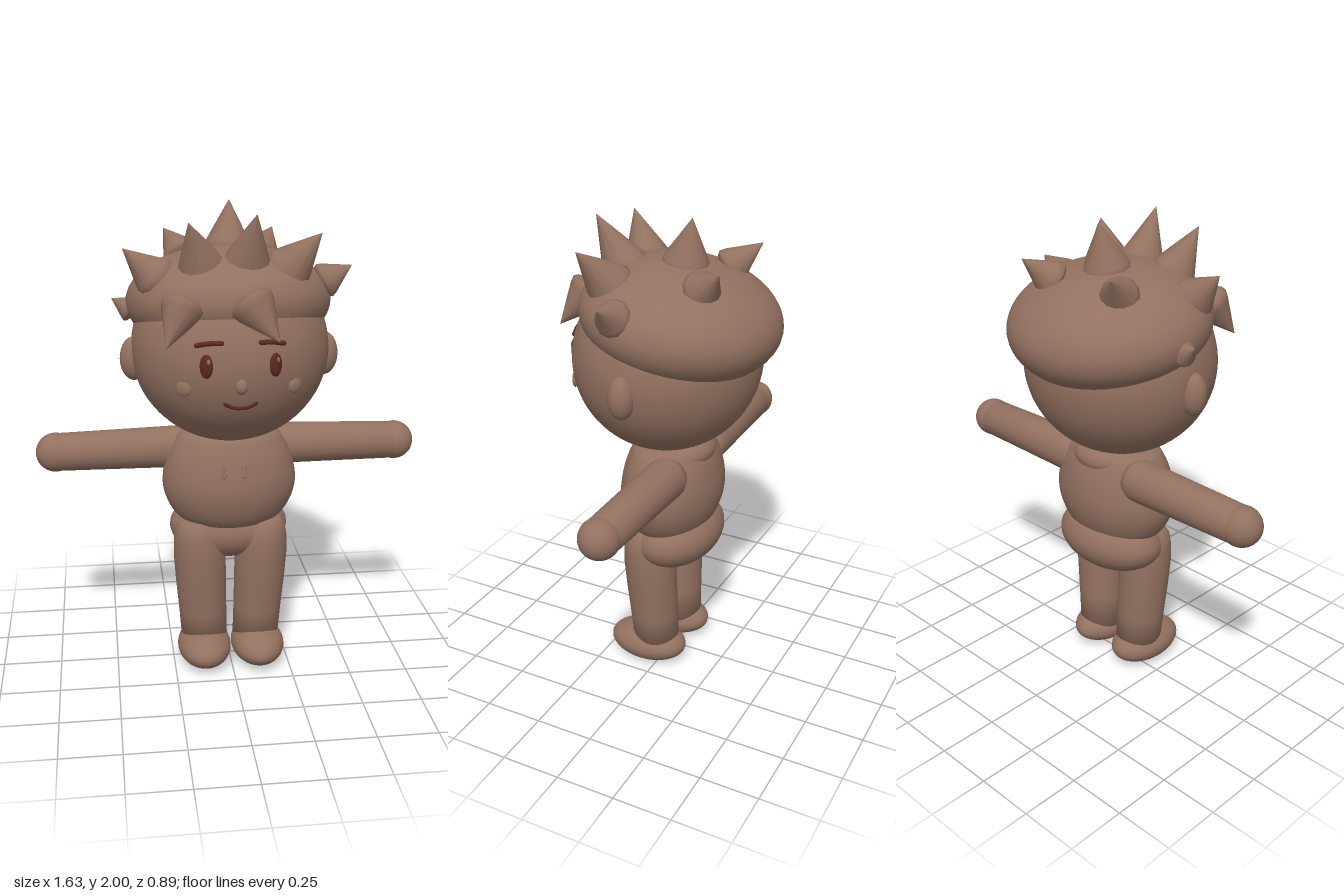
import * as THREE from 'three';

const skin = new THREE.MeshStandardMaterial({ color: 0x92715f });
skin.name = 'warm brown';
const dark = new THREE.MeshStandardMaterial({ color: 0x5c2a20 });
dark.name = 'dark reddish brown';

const HEAD = { y: 1.42, z: 0.02, rx: 0.405, ry: 0.388, rz: 0.388 };
const V = (p) => new THREE.Vector3(...p);

// depth of the face surface at x, y
function faceZ(x, y) {
  const k = 1 - (x / HEAD.rx) ** 2 - ((y - HEAD.y) / HEAD.ry) ** 2;
  return HEAD.z + HEAD.rz * Math.sqrt(Math.max(k, 0));
}

export function createModel() {
  const model = new THREE.Group();
  model.name = 'spikyHairedFigure';

  function add(name, geometry, material = skin) {
    const mesh = new THREE.Mesh(geometry, material);
    mesh.name = name;
    model.add(mesh);
    return mesh;
  }

  function ellipsoid(name, center, radii, material = skin, w = 40, h = 28) {
    const mesh = add(name, new THREE.SphereGeometry(1, w, h), material);
    mesh.position.set(...center);
    mesh.scale.set(...radii);
    return mesh;
  }

  // lathe whose profile [radius, distance] runs from one point towards another
  function turned(name, from, to, profile, segments) {
    const pts = profile.map(([r, t]) => new THREE.Vector2(r, t));
    const mesh = add(name, new THREE.LatheGeometry(pts, segments));
    mesh.position.set(...from);
    const dir = V(to).sub(V(from)).normalize();
    mesh.quaternion.setFromUnitVectors(new THREE.Vector3(0, 1, 0), dir);
    return mesh;
  }

  // hair or brow stroke laid on the face
  function stroke(name, points, radius) {
    const path = points.map(([x, y]) => new THREE.Vector3(x, y, faceZ(x, y)));
    add(name, new THREE.TubeGeometry(new THREE.CatmullRomCurve3(path), 16, radius, 8), dark);
    for (const p of [path[0], path[path.length - 1]]) {
      ellipsoid(name + 'End', p.toArray(), [radius, radius, radius], dark, 8, 6);
    }
  }

  // head and hair cap
  ellipsoid('head', [0, HEAD.y, HEAD.z], [HEAD.rx, HEAD.ry, HEAD.rz], skin, 56, 40);
  const cap = ellipsoid('hairCap', [0, 1.6, -0.04], [0.42, 0.23, 0.41], skin, 56, 36);
  cap.rotation.x = -0.157;

  // hair spikes: base, tip, radius
  const spikes = [
    [[0, 1.81, -0.055], [0.01, 2.0, -0.09], 0.1],
    [[-0.3, 1.72, 0.11], [-0.43, 1.84, 0.11], 0.09],
    [[-0.13, 1.77, 0.18], [-0.185, 1.955, 0.27], 0.095],
    [[0.045, 1.77, 0.18], [0.07, 1.985, 0.3], 0.1],
    [[0.21, 1.75, 0.16], [0.33, 1.905, 0.24], 0.1],
    [[0.38, 1.69, 0.058], [0.49, 1.75, 0.06], 0.075],
    [[-0.4, 1.57, -0.05], [-0.475, 1.61, -0.075], 0.055],
    [[-0.18, 1.77, -0.17], [-0.245, 1.865, -0.28], 0.08],
    [[0.155, 1.77, -0.2], [0.22, 1.86, -0.3], 0.08],
    [[-0.215, 1.645, 0.31], [-0.285, 1.505, 0.4], 0.085],
    [[0.045, 1.66, 0.355], [0.14, 1.53, 0.445], 0.09],
  ];
  for (const [base, tip, r] of spikes) {
    const length = V(base).distanceTo(V(tip));
    turned('hairSpike', base, tip, [
      [0, -0.4 * r], [0.5 * r, -0.35 * r], [0.87 * r, -0.18 * r], [r, 0],
      [0.9 * r, 0.15 * length], [0.001, length],
    ], 12);
  }

  // nose and mouth
  ellipsoid('nose', [0, 1.35, 0.4], [0.025, 0.031, 0.022], skin, 20, 14);
  stroke('mouth', [[-0.06, 1.277], [-0.03, 1.262], [0, 1.258], [0.03, 1.262], [0.06, 1.277]], 0.008);

  // torso, neck and hips
  const torso = add('torso', new THREE.LatheGeometry(new THREE.SplineCurve([
    [0.001, 0.6], [0.12, 0.62], [0.22, 0.68], [0.27, 0.76], [0.285, 0.84],
    [0.27, 0.93], [0.235, 1.01], [0.18, 1.06], [0.001, 1.08],
  ].map(([r, y]) => new THREE.Vector2(r, y))).getPoints(36), 48));
  torso.scale.z = 0.72;
  torso.position.z = -0.005;
  ellipsoid('neck', [0, 1.02, -0.04], [0.16, 0.08, 0.145]);
  ellipsoid('hips', [0, 0.62, -0.035], [0.255, 0.14, 0.18]).rotation.x = 0.1;

  for (const s of [1, -1]) {
    // face pair
    ellipsoid('ear', [s * 0.395, 1.38, 0.02], [0.056, 0.09, 0.054], skin, 24, 18);
    const ex = s * 0.133;
    ellipsoid('eye', [ex, 1.43, faceZ(ex, 1.43) - 0.002], [0.026, 0.047, 0.014], dark, 24, 16)
      .rotation.y = s * 0.33;
    ellipsoid('eyeGlint', [ex + 0.008, 1.45, faceZ(ex + 0.008, 1.45) + 0.009],
      [0.007, 0.012, 0.005], skin, 12, 8);
    stroke('eyebrow', [[s * 0.075, 1.519], [s * 0.12, 1.517], [s * 0.167, 1.508]], 0.01);
    const cx = s * 0.217;
    ellipsoid('cheek', [cx, 1.333, faceZ(cx, 1.333)], [0.033, 0.031, 0.012], skin, 20, 14)
      .rotation.y = s * 0.55;

    // chest marks
    const mark = add('chestMark', new THREE.CapsuleGeometry(0.008, 0.045, 4, 10));
    mark.position.set(s * 0.042, 0.93, 0.186);
    mark.rotation.x = -0.2;

    // arm and hand
    turned('arm', [s * 0.2, 0.965, -0.07], [s * 0.74, 0.96, -0.066], [
      [0.001, -0.07], [0.045, -0.06], [0.078, -0.035], [0.09, 0], [0.086, 0.2], [0.08, 0.54], [0.001, 0.54],
    ], 32);
    ellipsoid('hand', [s * 0.732, 0.96, -0.066], [0.083, 0.083, 0.083], skin, 28, 20);

    // leg and foot
    turned('leg', [s * 0.113, 0.1, 0.022], [s * 0.142, 0.68, 0.05], [
      [0.001, 0], [0.1, 0], [0.104, 0.15], [0.11, 0.3], [0.112, 0.42],
      [0.106, 0.5], [0.094, 0.55], [0.07, 0.578], [0.001, 0.588],
    ], 32);
    ellipsoid('foot', [s * 0.118, 0.082, 0.06], [0.116, 0.082, 0.176]);
  }

  return model;
}
